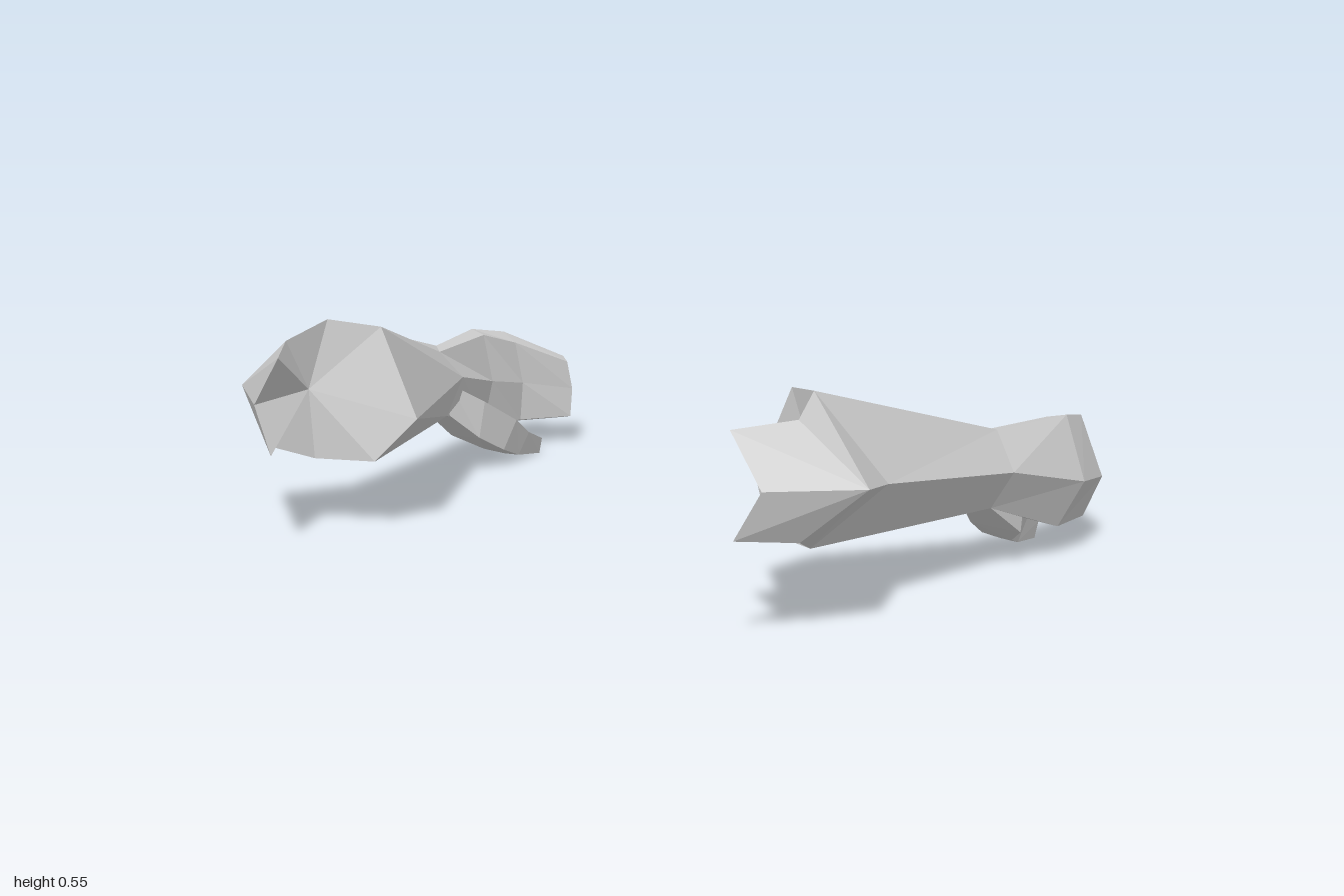
import * as THREE from 'three';

const material = new THREE.MeshStandardMaterial({ color: 0xcccccc, flatShading: true, side: THREE.DoubleSide });

// Faceted mesh from a list of corner triples; side = -1 mirrors it in x.
function facetMesh(name, tris, side) {
  const pos = [];
  for (const [a, b, c] of tris) {
    for (const [x, y, z] of side > 0 ? [a, b, c] : [a, c, b]) pos.push(x * side, y, z);
  }
  const geo = new THREE.BufferGeometry();
  geo.setAttribute('position', new THREE.Float32BufferAttribute(pos, 3));
  geo.computeVertexNormals();
  const mesh = new THREE.Mesh(geo, material);
  mesh.name = name;
  return mesh;
}

// Skin between successive rings running towards -z, with a closed far end.
function loft(rings) {
  const tris = [];
  const n = rings[0].length;
  for (let k = 0; k < rings.length - 1; k++) {
    for (let i = 0; i < n; i++) {
      const j = (i + 1) % n;
      const a = rings[k][i], b = rings[k][j], c = rings[k + 1][j], d = rings[k + 1][i];
      tris.push([a, d, c], [a, c, b]);
    }
  }
  const end = rings[rings.length - 1];
  for (let i = 1; i < n - 1; i++) tris.push([end[0], end[i + 1], end[i]]);
  return tris;
}

// Ring order: top, top inner, inner, bottom inner, bottom, outer
const elbow = [[0.73, 0.55, 0.44], [0.62, 0.53, 0.36], [0.515, 0.3, 0.35],
  [0.6, 0.19, 0.42], [0.75, 0.19, 0.48], [0.86, 0.325, 0.32]];
const wrist = [[0.875, 0.36, -0.17], [0.83, 0.355, -0.13], [0.79, 0.28, -0.18],
  [0.8, 0.18, -0.12], [0.88, 0.17, -0.14], [0.935, 0.265, -0.15]];
const knuckles = [[0.94, 0.36, -0.41], [0.89, 0.35, -0.4], [0.86, 0.22, -0.4],
  [0.87, 0.1, -0.37], [0.94, 0.08, -0.38], [1, 0.2, -0.4]];
const fingers = [[0.92, 0.335, -0.53], [0.87, 0.31, -0.52], [0.86, 0.19, -0.54],
  [0.87, 0.08, -0.54], [0.92, 0.065, -0.56], [0.96, 0.17, -0.58]];
const fingertips = [[0.82, 0.25, -0.68], [0.79, 0.24, -0.66], [0.78, 0.16, -0.67],
  [0.78, 0.08, -0.66], [0.81, 0.07, -0.68], [0.83, 0.155, -0.71]];

// Ring order: inner top, inner bottom, outer bottom, outer top
const thumbRings = [
  [[0.82, 0.26, -0.16], [0.8, 0.18, -0.13], [0.88, 0.17, -0.14], [0.9, 0.25, -0.18]],
  [[0.77, 0.2, -0.25], [0.775, 0.1, -0.23], [0.9, 0.085, -0.26], [0.9, 0.2, -0.28]],
  [[0.745, 0.13, -0.36], [0.76, 0.05, -0.32], [0.84, 0.04, -0.33], [0.85, 0.12, -0.38]],
  [[0.755, 0.08, -0.43], [0.77, 0.018, -0.4], [0.82, 0.015, -0.4], [0.83, 0.075, -0.43]],
  [[0.77, 0.045, -0.51], [0.78, 0, -0.51], [0.81, 0, -0.51], [0.82, 0.045, -0.51]],
];

// Forked elbow guard with an outer point, plus the closed elbow end
function elbowGuard() {
  const [T, TI, I, BI, S, O] = elbow;
  const P = [0.94, 0.37, 0.54];   // outer point
  const U = [0.765, 0.51, 0.56];  // upper edge
  const Q = [0.79, 0.235, 0.59];  // lower edge
  const A = [0.67, 0.5, 0.695];   // upper prong
  const M = [0.755, 0.37, 0.695]; // notch
  const B = [0.69, 0.25, 0.71];   // lower prong
  const N = [0.765, 0.37, 0.48];  // inner hollow
  return [
    [T, P, O], [T, U, P], [U, A, P], [A, M, P],
    [P, M, B], [P, B, Q], [P, Q, S], [P, S, O],
    [N, M, A], [N, A, U], [N, U, T], [N, B, M], [N, Q, B], [N, S, Q],
    [N, T, TI], [N, TI, I], [N, I, BI], [N, BI, S],
  ];
}

export function createModel() {
  const model = new THREE.Group();
  model.name = 'forearms';
  for (const side of [1, -1]) {
    const arm = new THREE.Group();
    arm.name = side > 0 ? 'leftArm' : 'rightArm';
    arm.add(
      facetMesh('elbowGuard', elbowGuard(), side),
      facetMesh('forearm', loft([elbow, wrist]), side),
      facetMesh('hand', loft([wrist, knuckles, fingers, fingertips]), side),
      facetMesh('thumb', loft(thumbRings), side),
    );
    model.add(arm);
  }
  return model;
}
